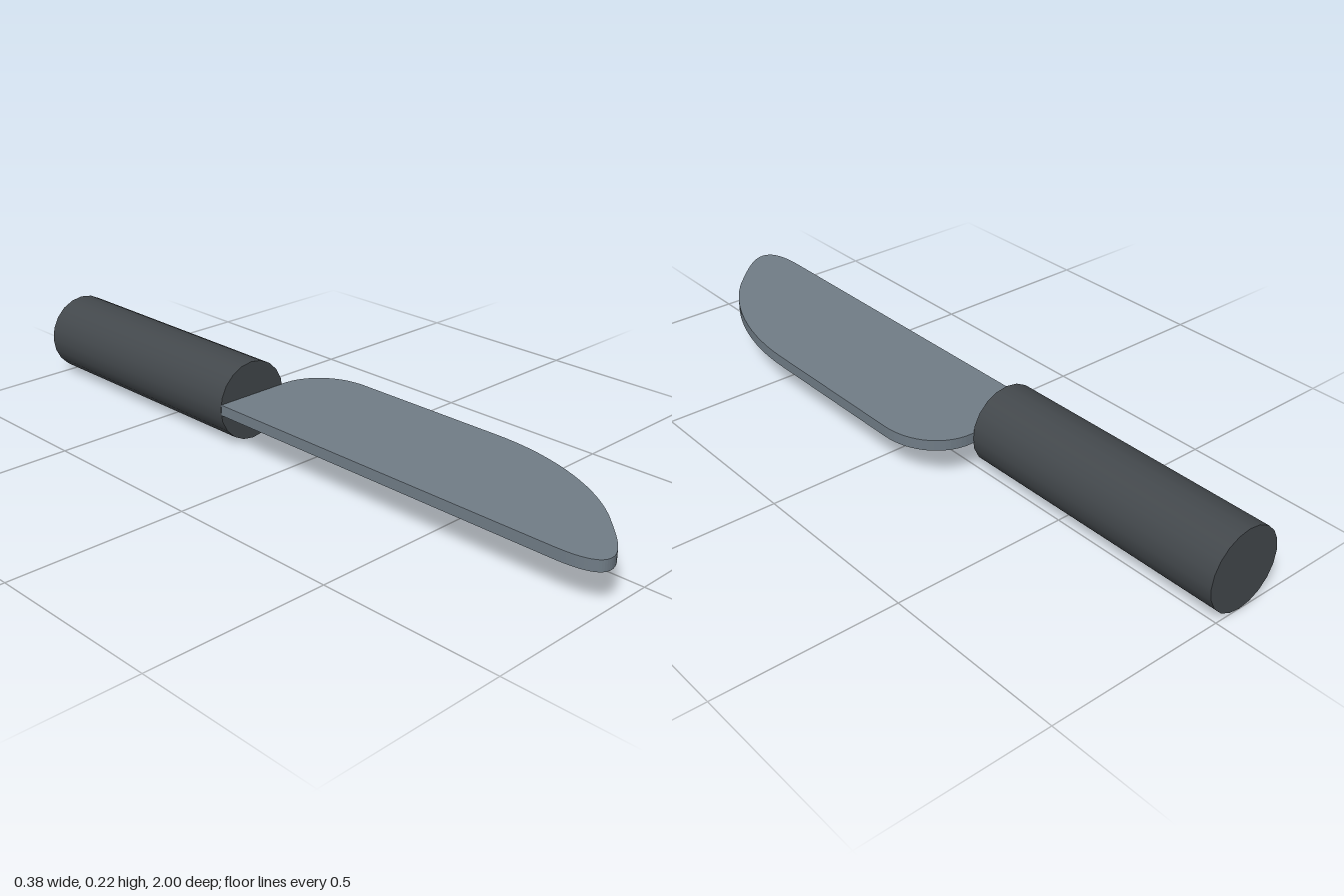
import * as THREE from 'three';

export function createModel() {
  const knife = new THREE.Group();
  knife.name = 'knife';

  const steel = new THREE.MeshStandardMaterial({ name: 'steel grey', color: 0x707c86 });
  const grip = new THREE.MeshStandardMaterial({ name: 'dark grip', color: 0x43484c });

  // Blade: flat outline (x, z) with straight spine, rounded heel and curved tip
  const outline = new THREE.Shape();
  outline.moveTo(-0.187, -0.217);
  outline.lineTo(0.04, -0.217);
  outline.bezierCurveTo(0.12, -0.217, 0.187, -0.15, 0.187, -0.05);
  outline.lineTo(0.187, 0.42);
  outline.bezierCurveTo(0.187, 0.62, 0.105, 0.8, 0, 0.9);
  outline.bezierCurveTo(-0.05, 0.95, -0.1, 1, -0.137, 1);
  outline.bezierCurveTo(-0.175, 1, -0.187, 0.95, -0.187, 0.88);
  outline.closePath();

  const bladeGeometry = new THREE.ExtrudeGeometry(outline, {
    depth: 0.03, bevelEnabled: false, curveSegments: 16,
  });
  bladeGeometry.rotateX(Math.PI / 2);
  const blade = new THREE.Mesh(bladeGeometry, steel);
  blade.name = 'blade';
  blade.position.y = 0.127;
  knife.add(blade);

  // Handle: plain round grip along z
  const handleGeometry = new THREE.CylinderGeometry(0.111, 0.111, 0.785, 20);
  handleGeometry.rotateX(Math.PI / 2);
  const handle = new THREE.Mesh(handleGeometry, grip);
  handle.name = 'handle';
  handle.position.set(-0.078, 0.111, -0.6075);
  knife.add(handle);

  return knife;
}
